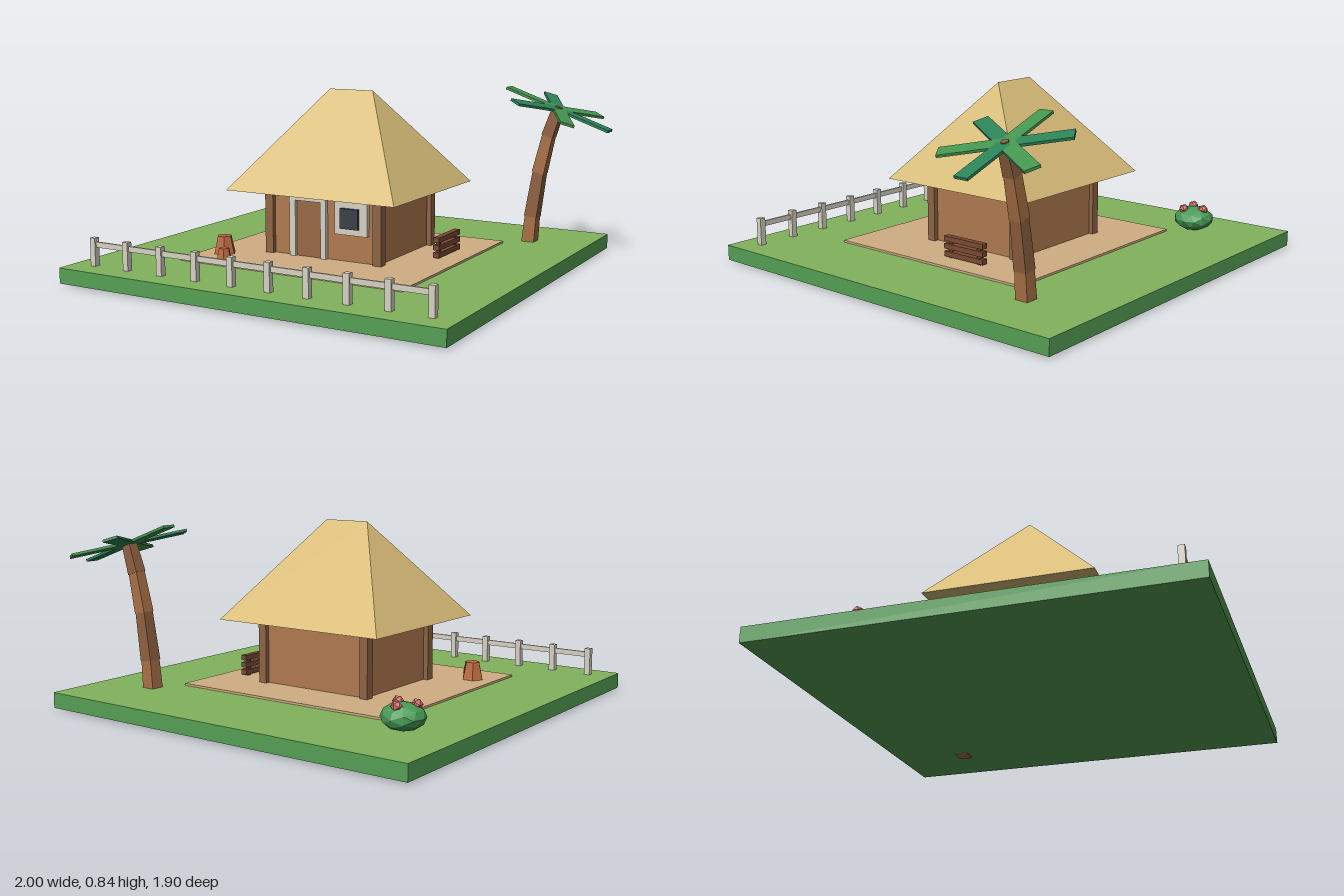
import * as THREE from 'three';
import { ConvexGeometry } from 'three/addons/geometries/ConvexGeometry.js';

const mat = (color) => new THREE.MeshStandardMaterial({ color, flatShading: true });
const M = {
  earth: mat(0x55a055), grass: mat(0x82b35c), sand: mat(0xcfae82), wall: mat(0xb07a50),
  post: mat(0x8f6444), door: mat(0x9a6845), trim: mat(0xd8d2c4), glass: mat(0x3a3f4a),
  thatch: mat(0xd8bc78), slat: mat(0x7a4a34), clay: mat(0xb8683f), bush: mat(0x469a55),
  flower: mat(0xcc6660), barkLight: mat(0xa87045), barkDark: mat(0x8f6040),
  leafLight: mat(0x459550), leafDark: mat(0x2c8358),
};

function add(parent, name, geometry, material, x = 0, y = 0, z = 0) {
  const mesh = new THREE.Mesh(geometry, material);
  mesh.name = name;
  mesh.position.set(x, y, z);
  parent.add(mesh);
  return mesh;
}

// Box given by its minimum and maximum on each axis
function block(parent, name, material, x0, x1, y0, y1, z0, z1) {
  return add(parent, name, new THREE.BoxGeometry(x1 - x0, y1 - y0, z1 - z0), material,
    (x0 + x1) / 2, (y0 + y1) / 2, (z0 + z1) / 2);
}

function subgroup(parent, name) {
  const g = new THREE.Group();
  g.name = name;
  parent.add(g);
  return g;
}

function buildHut(root) {
  const hut = subgroup(root, 'hut');
  block(hut, 'walls', M.wall, -0.33, 0.235, 0.085, 0.395, -0.25, 0.25);

  // Corner posts
  for (const x of [-0.333, 0.237])
    for (const z of [-0.25, 0.25])
      block(hut, 'cornerPost', M.post, x - 0.021, x + 0.021, 0.085, 0.395, z - 0.021, z + 0.021);

  // Hipped thatch roof
  const eave = 0.39, ridge = 0.842;
  const points = [new THREE.Vector3(-0.163, ridge, 0), new THREE.Vector3(0.065, ridge, 0)];
  for (const x of [-0.486, 0.387])
    for (const z of [-0.395, 0.395]) points.push(new THREE.Vector3(x, eave, z));
  add(hut, 'roof', new ConvexGeometry(points), M.thatch);

  // Door with its frame
  block(hut, 'door', M.door, -0.19, -0.056, 0.09, 0.35, 0.24, 0.256);
  block(hut, 'doorJamb', M.trim, -0.222, -0.19, 0.09, 0.385, 0.24, 0.27);
  block(hut, 'doorJamb', M.trim, -0.056, -0.028, 0.09, 0.385, 0.24, 0.27);
  block(hut, 'doorLintel', M.trim, -0.19, -0.056, 0.35, 0.385, 0.24, 0.27);

  // Window
  block(hut, 'windowFrame', M.trim, 0.02, 0.187, 0.215, 0.37, 0.24, 0.27);
  block(hut, 'windowPane', M.glass, 0.055, 0.147, 0.245, 0.337, 0.25, 0.285);
}

function buildBench(root) {
  const bench = subgroup(root, 'slattedRack');
  for (let i = 0; i < 3; i++) {
    const y = 0.108 + i * 0.035;
    block(bench, 'slat', M.slat, 0.39, 0.42, y - 0.012, y + 0.012, -0.21, 0.017);
  }
  for (const z of [-0.18, -0.013])
    block(bench, 'upright', M.slat, 0.395, 0.41, 0.085, 0.185, z - 0.01, z + 0.01);
}

function buildFence(root) {
  const fence = subgroup(root, 'fence');
  for (let i = 0; i < 10; i++) {
    const x = -0.89 + i * 0.1867;
    block(fence, 'fencePost', M.trim, x - 0.014, x + 0.014, 0.075, 0.208, 0.824, 0.852);
  }
  block(fence, 'fenceRail', M.trim, -0.89, 0.79, 0.165, 0.19, 0.833, 0.843);
}

function buildBush(root) {
  const bush = subgroup(root, 'bush');
  bush.position.set(-0.738, 0, -0.575);
  add(bush, 'foliage', new THREE.IcosahedronGeometry(0.095, 1), M.bush, 0, 0.137, 0).scale.y = 0.62;
  for (const [x, z] of [[0, -0.05], [-0.045, 0.03], [0.045, 0.03]])
    add(bush, 'flower', new THREE.IcosahedronGeometry(0.025, 0), M.flower, x, 0.186, z);
}

function buildPalm(root) {
  const palm = subgroup(root, 'palm');
  palm.position.z = -0.61;

  // Leaning trunk of four-sided tapered segments
  const path = [[0.607, 0.003], [0.625, 0.21], [0.658, 0.43], [0.7, 0.61], [0.742, 0.735]];
  const up = new THREE.Vector3(0, 1, 0);
  for (let i = 0; i < path.length - 1; i++) {
    const a = new THREE.Vector3(...path[i], 0), b = new THREE.Vector3(...path[i + 1], 0);
    const side = 0.066 - i * 0.003;
    const geometry = new THREE.CylinderGeometry((side - 0.008) / Math.SQRT2, side / Math.SQRT2,
      a.distanceTo(b) + (i ? 0.01 : 0), 4).rotateY(Math.PI / 4);
    const segment = add(palm, 'trunkSegment', geometry, i % 2 ? M.barkDark : M.barkLight);
    segment.position.copy(a).lerp(b, 0.5);
    segment.quaternion.setFromUnitVectors(up, b.clone().sub(a).normalize());
  }

  // Tilted crown of six flat leaves
  const crown = subgroup(palm, 'crown');
  crown.position.set(0.743, 0.737, 0);
  crown.rotation.z = -0.345;
  for (let i = 0; i < 6; i++) {
    const geometry = new THREE.BoxGeometry(0.262, 0.012, 0.068).translate(0.141, 0, 0);
    add(crown, 'leaf', geometry, i % 2 ? M.leafLight : M.leafDark).rotation.y = i * Math.PI / 3;
  }
  add(crown, 'crownBud', new THREE.CylinderGeometry(0.018, 0.018, 0.022, 6), M.barkDark);
}

export function createModel() {
  const root = new THREE.Group();
  root.name = 'beachHut';

  // Ground and yard
  block(root, 'ground', M.earth, -1, 0.9, 0.008, 0.079, -0.95, 0.95);
  add(root, 'lawn', new THREE.PlaneGeometry(1.9, 1.9).rotateX(-Math.PI / 2), M.grass, -0.05, 0.08, 0);
  block(root, 'sandYard', M.sand, -0.62, 0.52, 0.075, 0.09, -0.495, 0.57);

  buildHut(root);
  buildBench(root);
  buildFence(root);
  buildBush(root);
  buildPalm(root);

  // Clay pots: x, z, top radius, bottom radius, height
  for (const [x, z, top, bottom, h] of [[-0.51, 0.38, 0.034, 0.053, 0.083], [-0.431, 0.494, 0.025, 0.037, 0.055]])
    add(root, 'pot', new THREE.CylinderGeometry(top, bottom, h, 6).rotateY(Math.PI / 6), M.clay, x, 0.089 + h / 2, z);

  return root;
}
